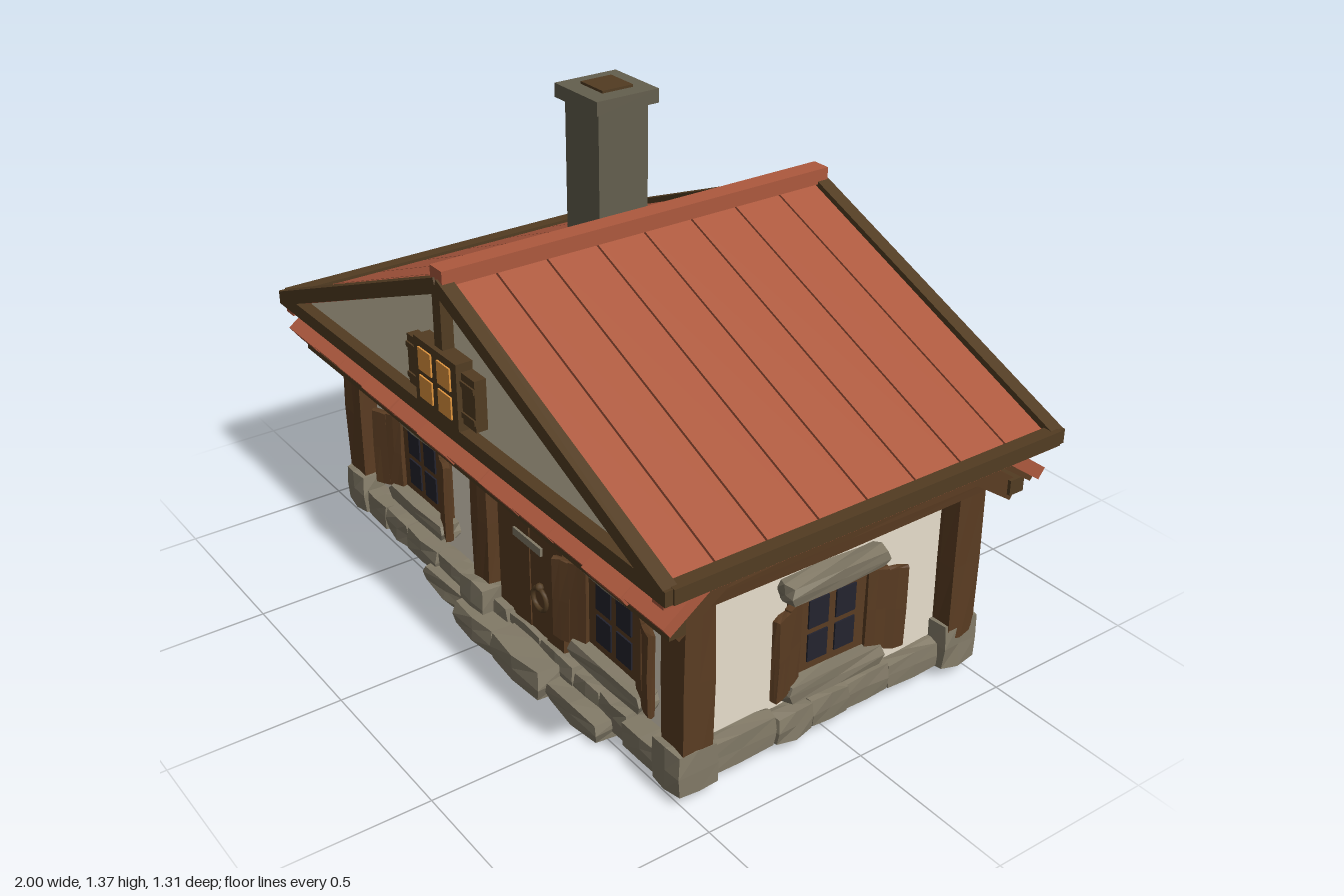
import * as THREE from 'three';

const mat = (name, color) => {
  const m = new THREE.MeshStandardMaterial({ color });
  m.name = name;
  return m;
};

export function createModel() {
  const M = {
    roof: mat('roofRed', 0xad593e),
    seam: mat('roofSeam', 0x6e3827),
    trim: mat('darkTrim', 0x523c22),
    wood: mat('wood', 0x5a3c22),
    wall: mat('plaster', 0xf0e6d3),
    gable: mat('gablePlaster', 0xd2c7aa),
    stone: mat('stone', 0x827a67),
    chimney: mat('chimneyStone', 0x645f4e),
    amber: mat('amberGlass', 0xe2963e),
    glass: mat('darkGlass', 0x23232e),
  };
  const root = new THREE.Group();
  root.name = 'cottage';

  let seed = 7;
  const rnd = () => (seed = (seed * 16807) % 2147483647) / 2147483647;
  const jit = (a) => (rnd() - 0.5) * 2 * a;

  const add = (parent, name, geo, material, x, y, z) => {
    const m = new THREE.Mesh(geo, material);
    m.name = name;
    m.position.set(x, y, z);
    parent.add(m);
    return m;
  };
  // Box given by its minimum and maximum on each axis
  const box = (parent, name, material, x0, x1, y0, y1, z0, z1) =>
    add(parent, name, new THREE.BoxGeometry(x1 - x0, y1 - y0, z1 - z0), material,
      (x0 + x1) / 2, (y0 + y1) / 2, (z0 + z1) / 2);
  // Square beam running between two points
  const beam = (parent, name, material, a, b, w, h) => {
    const A = new THREE.Vector3(...a), B = new THREE.Vector3(...b);
    const m = add(parent, name, new THREE.BoxGeometry(w, h, A.distanceTo(B)), material, 0, 0, 0);
    m.position.copy(A).add(B).multiplyScalar(0.5);
    m.lookAt(B);
    return m;
  };
  // Faceted block with worn corners, given by its extents
  const rough = (parent, name, material, x0, x1, y0, y1, z0, z1, wear = 0.08, wobble = 0.004) => {
    const w = x1 - x0, h = y1 - y0, d = z1 - z0;
    const g = new THREE.BoxGeometry(w, h, d, 2, 2, 2), p = g.attributes.position;
    const moved = {};
    for (let i = 0; i < p.count; i++) {
      const v = [p.getX(i), p.getY(i), p.getZ(i)];
      const key = v.map((c) => Math.sign(Math.round(c * 1e5))).join();
      moved[key] ??= [jit(wobble), jit(wobble), jit(wobble)];
      const corner = v.every((c) => Math.abs(c) > 1e-5) ? 1 - wear : 1;
      p.setXYZ(i, ...v.map((c, k) => c * corner + moved[key][k]));
    }
    const flat = g.toNonIndexed();
    flat.computeVertexNormals();
    return add(parent, name, flat, material, (x0 + x1) / 2, (y0 + y1) / 2, (z0 + z1) / 2);
  };

  // Walls and the floor recessed inside the footing
  box(root, 'walls', M.wall, -0.83, 0.83, 0.1, 0.72, -0.44, 0.44);
  box(root, 'floor', M.gable, -0.82, 0.82, 0.085, 0.1, -0.43, 0.43);

  // Stone footing, laid block by block around the house
  const footing = new THREE.Group();
  footing.name = 'footing';
  root.add(footing);
  const course = (from, to, place) => {
    let a = from;
    while (a < to - 0.01) {
      let b = a + 0.11 + rnd() * 0.09;
      if (to - b < 0.08) b = to;
      place(a, b, 0.128 + jit(0.012), jit(0.008));
      a = b;
    }
  };
  for (const s of [-1, 1]) {
    const span = (lo, hi) => (s > 0 ? [lo, hi] : [-hi, -lo]);
    course(-0.8, 0.8, (a, b, top, j) =>
      rough(footing, 'footingStone', M.stone, a - 0.003, b + 0.003, 0.03, top - 0.01, ...span(0.42, 0.5 + j)));
    course(-0.41, 0.41, (a, b, top, j) =>
      rough(footing, 'footingStone', M.stone, ...span(0.81, 0.875 + j), 0.038, top, a - 0.003, b + 0.003));
    for (const t of [-1, 1]) {
      const x = 0.835 * s, z = 0.452 * t;
      rough(footing, 'cornerStone', M.stone, x - 0.06, x + 0.06, 0.033, t < 0 ? 0.182 : 0.162, z - 0.063, z + 0.063);
    }
  }
  rough(footing, 'postStone', M.stone, -0.14, -0.01, 0.03, 0.168, 0.42, 0.54);
  rough(footing, 'postStone', M.stone, -0.065, 0.065, 0.03, 0.168, -0.54, -0.42);
  // Door steps
  [[-0.38, -0.13, 0.06, 0.53], [-0.13, 0.08, 0.088, 0.57], [0.08, 0.33, 0.098, 0.575], [0.33, 0.57, 0.07, 0.55]]
    .forEach(([a, b, top, z]) => rough(footing, 'doorStep', M.stone, a, b, 0.004, top, 0.36, z));

  // Timber posts and side beams
  const post = (x, z, w) => rough(root, 'post', M.wood, x - w, x + w, 0.13, 0.6, z - 0.048, z + 0.048, 0.04, 0.003);
  for (const s of [-1, 1]) for (const t of [-1, 1]) post(0.84 * s, 0.45 * t, 0.052);
  post(-0.07, 0.455, 0.042);
  post(0, -0.455, 0.042);
  for (const s of [-1, 1])
    rough(root, 'sideBeam', M.wood, 0.86 * s - 0.045, 0.86 * s + 0.045, 0.59, 0.652, -0.48, 0.48, 0.02, 0.003);

  // Shuttered window facing +z, with its back on z = 0
  const windowAt = (x, z, turn) => {
    const g = new THREE.Group();
    g.name = 'window';
    box(g, 'frame', M.wood, -0.13, 0.13, 0.21, 0.475, -0.01, 0.025);
    for (const s of [-1, 1]) {
      for (const y of [0.292, 0.395]) box(g, 'pane', M.glass, s * 0.046 - 0.033, s * 0.046 + 0.033, y - 0.042, y + 0.042, 0.024, 0.03);
      const leaf = new THREE.Group();
      leaf.name = 'shutter';
      leaf.position.set(s * 0.12, 0, 0.018);
      leaf.rotation.y = -s * 0.36;
      rough(leaf, 'shutterPlank', M.wood, s > 0 ? 0 : -0.056, s > 0 ? 0.056 : 0, 0.21, 0.462, 0, 0.022, 0.02, 0.002);
      rough(leaf, 'shutterPlank', M.wood, s > 0 ? 0.055 : -0.112, s > 0 ? 0.112 : -0.055, 0.205, 0.457, 0, 0.022, 0.02, 0.002);
      g.add(leaf);
    }
    rough(g, 'lintel', M.stone, -0.165, 0.165, 0.468, 0.522, -0.01, 0.06);
    rough(g, 'sill', M.stone, -0.165, 0.165, 0.168, 0.222, -0.01, 0.065);
    g.position.set(x, 0, z);
    g.rotation.y = turn;
    root.add(g);
  };
  windowAt(-0.455, 0.44, 0);
  windowAt(0.545, 0.44, 0);
  windowAt(0.47, -0.44, Math.PI);
  windowAt(-0.44, -0.44, Math.PI);
  windowAt(0.83, 0, Math.PI / 2);
  windowAt(-0.83, 0, -Math.PI / 2);

  // Plank door with name plate and ring handle
  const door = new THREE.Group();
  door.name = 'door';
  root.add(door);
  for (let i = 0; i < 4; i++) {
    const x = -0.01 + i * 0.083;
    box(door, 'doorPlank', M.wood, x, x + 0.083, 0.095, 0.542 - i * 0.003, 0.43, 0.475 + (i % 2) * 0.004);
  }
  box(door, 'doorPlate', M.stone, 0.085, 0.225, 0.39, 0.415, 0.478, 0.486);
  add(door, 'doorRing', new THREE.TorusGeometry(0.034, 0.007, 6, 16), M.trim, 0.217, 0.25, 0.487);
  add(door, 'ringMount', new THREE.SphereGeometry(0.013, 8, 6), M.trim, 0.217, 0.288, 0.487);

  // Pent roofs along front and back, on rafters
  for (const t of [-1, 1]) {
    for (let i = 0; i < 12; i++) {
      const x = -0.97 + (i + 0.5) * (1.94 / 12), j = jit(0.003);
      beam(root, 'pentTile', M.roof, [x, 0.742 + j, t * 0.46], [x, 0.63 + j, t * (0.618 + jit(0.005))], 1.94 / 12 + 0.002, 0.036);
    }
    for (let i = 0; i < 9; i++) {
      const x = -0.9 + i * 0.225;
      beam(root, 'rafter', M.wood, [x, 0.69, t * 0.4], [x, 0.578, t * 0.565], 0.06, 0.06);
    }
    beam(root, 'pentBoard', M.wood, [0, 0.72, t * 0.45], [0, 0.613, t * 0.603], 1.9, 0.02);
    beam(root, 'eaveBeam', M.trim, [-0.94, 0.598, t * 0.56], [0.94, 0.598, t * 0.56], 0.05, 0.045);
    beam(root, 'wallBeam', M.wood, [-0.88, 0.59, t * 0.455], [0.88, 0.59, t * 0.455], 0.06, 0.05);
  }

  // Main roof: planks with narrow gaps over dark battens
  const joints = [-0.635, -0.48, -0.32, -0.165, -0.005, 0.15, 0.31, 0.465, 0.615];
  for (const s of [-1, 1]) {
    const slope = new THREE.Group();
    slope.name = 'roofSlope';
    slope.position.set(0, 1.158, 0);
    slope.rotation.z = -s * Math.atan2(0.407, 0.98);
    const reach = (a, b) => (s > 0 ? [a, b] : [-b, -a]);
    for (let i = 0; i < 8; i++) {
      box(slope, 'roofPlank', M.roof, ...reach(0, 1.04), -0.034, -0.004, joints[i] + 0.003, joints[i + 1] - 0.003);
      if (i) box(slope, 'batten', M.seam, ...reach(0.01, 1.03), -0.036, -0.012, joints[i] - 0.003, joints[i] + 0.003);
    }
    root.add(slope);
    box(root, 'eaveTrim', M.trim, ...reach(0.96, 1), 0.722, 0.765, -0.64, 0.615);
    box(root, 'eaveLip', M.roof, ...reach(0.93, 0.975), 0.7, 0.724, -0.65, 0.627);
    for (const z of [-0.637, 0.617])
      beam(root, 'bargeBoard', M.trim, [0, 1.148, z], [s * 0.985, 0.742, z], 0.042, 0.042);
  }
  box(root, 'ridgeCap', M.roof, -0.03, 0.03, 1.15, 1.195, -0.652, 0.632);

  // Gable ends
  const tri = new THREE.Shape([[-0.96, 0.74], [0.96, 0.74], [0, 1.135]].map((p) => new THREE.Vector2(...p)));
  for (const z of [-0.62, 0.58]) {
    add(root, 'gableWall', new THREE.ExtrudeGeometry(tri, { depth: 0.02, bevelEnabled: false }), M.gable, 0, 0, z);
    const c = z < 0 ? -0.637 : 0.617;
    box(root, 'tieBeam', M.trim, -0.995, 0.995, 0.722, 0.764, c - 0.021, c + 0.021);
    box(root, 'kingPost', M.trim, -0.02, 0.02, 0.76, 1.14, c - 0.019, c + 0.019);
  }

  // Lit attic window on the front gable
  const attic = new THREE.Group();
  attic.name = 'atticWindow';
  root.add(attic);
  box(attic, 'atticFrame', M.trim, -0.11, 0.11, 0.775, 0.97, 0.6, 0.65);
  for (const s of [-1, 1]) {
    for (const y of [0.832, 0.915]) box(attic, 'atticPane', M.amber, s * 0.049 - 0.033, s * 0.049 + 0.033, y - 0.033, y + 0.033, 0.648, 0.655);
    box(attic, 'atticShutter', M.trim, s * 0.142 - 0.033, s * 0.142 + 0.033, 0.797, 0.945, 0.6, 0.635);
    for (const y of [0.825, 0.915]) box(attic, 'shutterBrace', M.trim, s * 0.142 - 0.033, s * 0.142 + 0.033, y - 0.008, y + 0.008, 0.634, 0.64);
  }

  // Chimney
  const chimney = new THREE.Group();
  chimney.name = 'chimney';
  root.add(chimney);
  box(chimney, 'stack', M.chimney, -0.62, -0.443, 0.86, 1.33, -0.35, -0.172);
  box(chimney, 'cap', M.chimney, -0.642, -0.418, 1.322, 1.366, -0.372, -0.15);
  box(chimney, 'flue', M.trim, -0.588, -0.474, 1.36, 1.374, -0.318, -0.208);

  return root;
}
